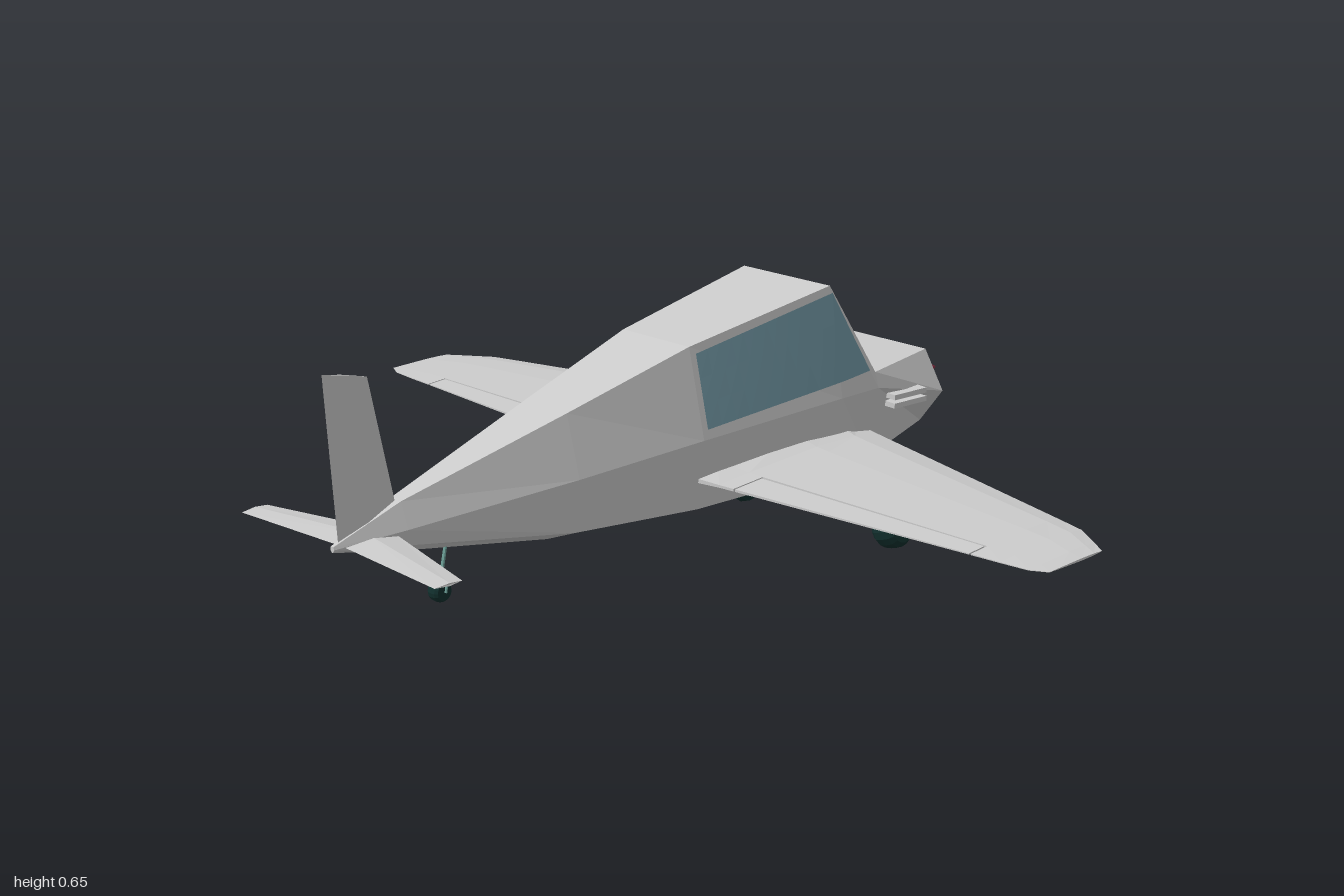
import * as THREE from 'three';

const mat = (color, side = THREE.FrontSide) =>
  new THREE.MeshStandardMaterial({ color, flatShading: true, side });
const GREY = mat(0xcccccc), GLASS = mat(0x7399a6, THREE.DoubleSide);
const TYRE = mat(0x12302e), STRUT = mat(0x6fa39b), RED = mat(0x8c2f45);
const V = (x, y, z) => new THREE.Vector3(x, y, z);

function part(parent, name, geometry, material) {
  const mesh = new THREE.Mesh(geometry, material);
  mesh.name = name;
  parent.add(mesh);
  return mesh;
}

// Closed skin over a list of rings; side = -1 mirrors it in x
function loft(rings, side = 1) {
  const pos = [], index = [], n = rings[0].length;
  for (const ring of rings) for (const p of ring) pos.push(p.x * side, p.y, p.z);
  const tri = (a, b, c) => (side > 0 ? index.push(a, b, c) : index.push(a, c, b));
  for (let i = 0; i < rings.length - 1; i++) {
    for (let j = 0; j < n; j++) {
      const k = (j + 1) % n, a = i * n, b = a + n;
      tri(a + j, a + k, b + k);
      tri(a + j, b + k, b + j);
    }
  }
  const end = (rings.length - 1) * n;
  for (let j = 1; j < n - 1; j++) {
    tri(0, j + 1, j);
    tri(end, end + j, end + j + 1);
  }
  return finish(pos, index);
}

function finish(pos, index) {
  let g = new THREE.BufferGeometry();
  g.setAttribute('position', new THREE.Float32BufferAttribute(pos, 3));
  g.setIndex(index);
  g = g.toNonIndexed();
  g.computeVertexNormals();
  return g;
}

// Surface patch from a function of u, v
function patch(fn, nu, nv) {
  const pos = [], index = [];
  for (let i = 0; i <= nu; i++) for (let j = 0; j <= nv; j++) pos.push(...fn(i / nu, j / nv).toArray());
  for (let i = 0; i < nu; i++) for (let j = 0; j < nv; j++) {
    const a = i * (nv + 1) + j, b = a + nv + 1;
    index.push(a, a + 1, b + 1, a, b + 1, b);
  }
  return finish(pos, index);
}

function rod(parent, name, a, b, r) {
  const mesh = part(parent, name, new THREE.CylinderGeometry(r, r, a.distanceTo(b), 6), STRUT);
  mesh.position.copy(a).lerp(b, 0.5);
  mesh.quaternion.setFromUnitVectors(V(0, 1, 0), b.clone().sub(a).normalize());
}

// Fuselage sections: z, keel y, chine x y, waist x y, roof x y
const BODY = [
  [-0.88, 0.29, 0.010, 0.295, 0.018, 0.305, 0.012, 0.318],
  [-0.73, 0.20, 0.110, 0.235, 0.175, 0.320, 0.120, 0.410],
  [-0.50, 0.165, 0.150, 0.205, 0.176, 0.375, 0.165, 0.410],
  [-0.38, 0.157, 0.150, 0.200, 0.174, 0.375, 0.130, 0.625],
  [0.03, 0.165, 0.125, 0.203, 0.146, 0.362, 0.100, 0.560],
  [0.35, 0.185, 0.085, 0.220, 0.102, 0.340, 0.065, 0.475],
  [0.75, 0.262, 0.026, 0.280, 0.036, 0.315, 0.016, 0.370],
  [0.91, 0.299, 0.004, 0.302, 0.006, 0.306, 0.004, 0.312],
];

// Half-width of the upper cabin side at a given z, y
function cabinX(z, y) {
  const i = z < -0.38 ? 2 : 3, a = BODY[i], b = BODY[i + 1];
  const t = (z - a[0]) / (b[0] - a[0]);
  const [xm, ym, xt, yt] = [4, 5, 6, 7].map(k => a[k] + (b[k] - a[k]) * t);
  return xm + (xt - xm) * (y - ym) / (yt - ym);
}

// Wing stations: x, leading z, trailing z, height above, depth below
const WING = {
  root: [0.10, -0.51, 0.037, 0.030, 0.065],
  fillet: [0.19, -0.485, 0.030, 0.017, 0.034],
  inner: [0.23, -0.474, 0.027, 0.016, 0.030],
  outer: [0.83, -0.31, -0.020, 0.009, 0.011],
  shoulder: [0.90, -0.29, -0.025, 0.007, 0.009],
  corner: [0.965, -0.245, -0.031, 0.005, 0.006],
  tip: [1.00, -0.22, -0.050, 0.002, 0.003],
};
const HEIGHT = [[0, 0.05], [0.15, 0.8], [0.4, 1], [0.82, 0.45], [1, 0.12]];

function airfoil([x, le, te, up, down], from = 0, to = 1) {
  const pts = HEIGHT.map(([f]) => {
    const c = Math.min(Math.max(f, from), to);
    const i = Math.max(1, HEIGHT.findIndex(h => h[0] >= c));
    const [f0, h0] = HEIGHT[i - 1], [f1, h1] = HEIGHT[i];
    return [le + (te - le) * c, h0 + (h1 - h0) * (c - f0) / (f1 - f0)];
  });
  return [
    ...pts.map(([z, h]) => V(x, 0.272 + h * up, z)),
    ...pts.reverse().map(([z, h]) => V(x, 0.272 - h * down, z)),
  ];
}

export function createModel() {
  const plane = new THREE.Group();
  plane.name = 'lightAircraft';

  // Fuselage
  part(plane, 'fuselage', loft(BODY.map(([z, yb, xc, yc, xm, ym, xt, yt]) => [
    V(0, yb, z), V(xc, yc, z), V(xm, ym, z), V(xt, yt, z),
    V(-xt, yt, z), V(-xm, ym, z), V(-xc, yc, z),
  ])), GREY);

  // Spinner
  const spinner = part(plane, 'spinner', new THREE.ConeGeometry(0.027, 0.05, 8), RED);
  spinner.rotation.x = -Math.PI / 2;
  spinner.position.set(0, 0.305, -0.893);
  const hub = part(plane, 'spinnerHub', new THREE.CylinderGeometry(0.016, 0.02, 0.03, 8), RED);
  hub.rotation.x = -Math.PI / 2;
  hub.position.set(0, 0.305, -0.87);

  // Fin: flat diamond sections
  part(plane, 'fin', loft([
    [V(0, 0.31, 0.74), V(-0.008, 0.31, 0.82), V(0, 0.31, 0.895), V(0.008, 0.31, 0.82)],
    [V(0, 0.635, 0.81), V(-0.004, 0.65, 0.87), V(0, 0.66, 0.918), V(0.004, 0.65, 0.87)],
  ]), GREY);

  for (const s of [1, -1]) {
    const side = s > 0 ? 'left' : 'right';

    // Wing with a notch for the flap, and the flap itself
    const W = WING;
    part(plane, side + 'Wing', loft([
      airfoil(W.root), airfoil(W.fillet), airfoil(W.inner),
      airfoil(W.inner, 0, 0.82), airfoil(W.outer, 0, 0.82), airfoil(W.outer),
      airfoil(W.shoulder), airfoil(W.corner), airfoil(W.tip),
    ], s), GREY);
    const flapEnd = (w, dx) => airfoil([w[0] + dx, ...w.slice(1)], 0.835, 1);
    part(plane, side + 'Flap', loft([flapEnd(W.inner, 0.004), flapEnd(W.outer, -0.004)], s), GREY);

    // Tailplane
    part(plane, side + 'Tailplane', loft([
      [V(0, 0.306, 0.762), V(0, 0.314, 0.82), V(0, 0.306, 0.885), V(0, 0.298, 0.82)],
      [V(0.305, 0.306, 0.84), V(0.305, 0.309, 0.87), V(0.302, 0.306, 0.905), V(0.305, 0.303, 0.87)],
    ], s), GREY);

    // Side window follows the cabin wall
    part(plane, side + 'SideWindow', patch((u, v) => {
      const z = 0.02 + u * (-0.495 + v * 0.095);
      const y = (1 - v) * (0.385 + 0.035 * u) + v * (0.545 + 0.065 * u);
      return V(s * (cabinX(z, y) + 0.006), y, z);
    }, 12, 3), GLASS);

    // Windscreen pane
    part(plane, side + 'WindscreenPane', patch((u, v) => {
      const t = 0.08 + 0.85 * v, edge = 0.153 - 0.035 * t;
      return V(s * (0.008 + u * (edge - 0.008)), 0.412 + 0.215 * t, -0.505 + 0.12 * t);
    }, 1, 1), GLASS);

    // Exhaust pipes on the cowling
    for (const y of [0.326, 0.346]) {
      const pipe = part(plane, side + 'Exhaust', new THREE.BoxGeometry(0.036, 0.012, 0.1), GREY);
      pipe.position.set(s * 0.178, y, -0.592);
      pipe.rotation.y = -s * 0.1;
    }

    // Main gear: splayed leg, fork and wheel
    const gear = new THREE.Group();
    gear.name = side + 'MainGear';
    gear.position.set(s * 0.232, 0.056, -0.495);
    gear.rotation.z = s * 0.3;
    plane.add(gear);
    rod(gear, 'leg', V(0, 0.07, 0), V(0, 0.2, 0), 0.006);
    rod(gear, 'forkBridge', V(-0.042, 0.07, 0), V(0.042, 0.07, 0), 0.005);
    rod(gear, 'axle', V(-0.042, 0, 0), V(0.042, 0, 0), 0.005);
    for (const x of [-0.042, 0.042]) rod(gear, 'forkArm', V(x, 0, 0), V(x, 0.07, 0), 0.005);
    addWheel(gear, 0.047, 0.062);
  }

  // Tail wheel
  const tail = new THREE.Group();
  tail.name = 'tailGear';
  tail.position.set(0, 0.15, 0.645);
  plane.add(tail);
  rod(tail, 'tailLeg', V(0, 0.03, -0.005), V(0, 0.1, -0.02), 0.004);
  rod(tail, 'tailForkBridge', V(-0.02, 0.03, -0.005), V(0.02, 0.03, -0.005), 0.003);
  for (const x of [-0.02, 0.02]) rod(tail, 'tailForkArm', V(x, 0, 0), V(x, 0.03, -0.005), 0.003);
  addWheel(tail, 0.024, 0.032);

  return plane;
}

// Rounded tyre turned about the x axis
function addWheel(parent, r, w) {
  const profile = [[0, -0.5], [0.75, -0.5], [0.95, -0.3], [1, 0], [0.95, 0.3], [0.75, 0.5], [0, 0.5]];
  const g = new THREE.LatheGeometry(profile.map(([a, b]) => new THREE.Vector2(a * r, b * w)), 16);
  part(parent, 'wheel', g.rotateZ(Math.PI / 2), TYRE);
}
